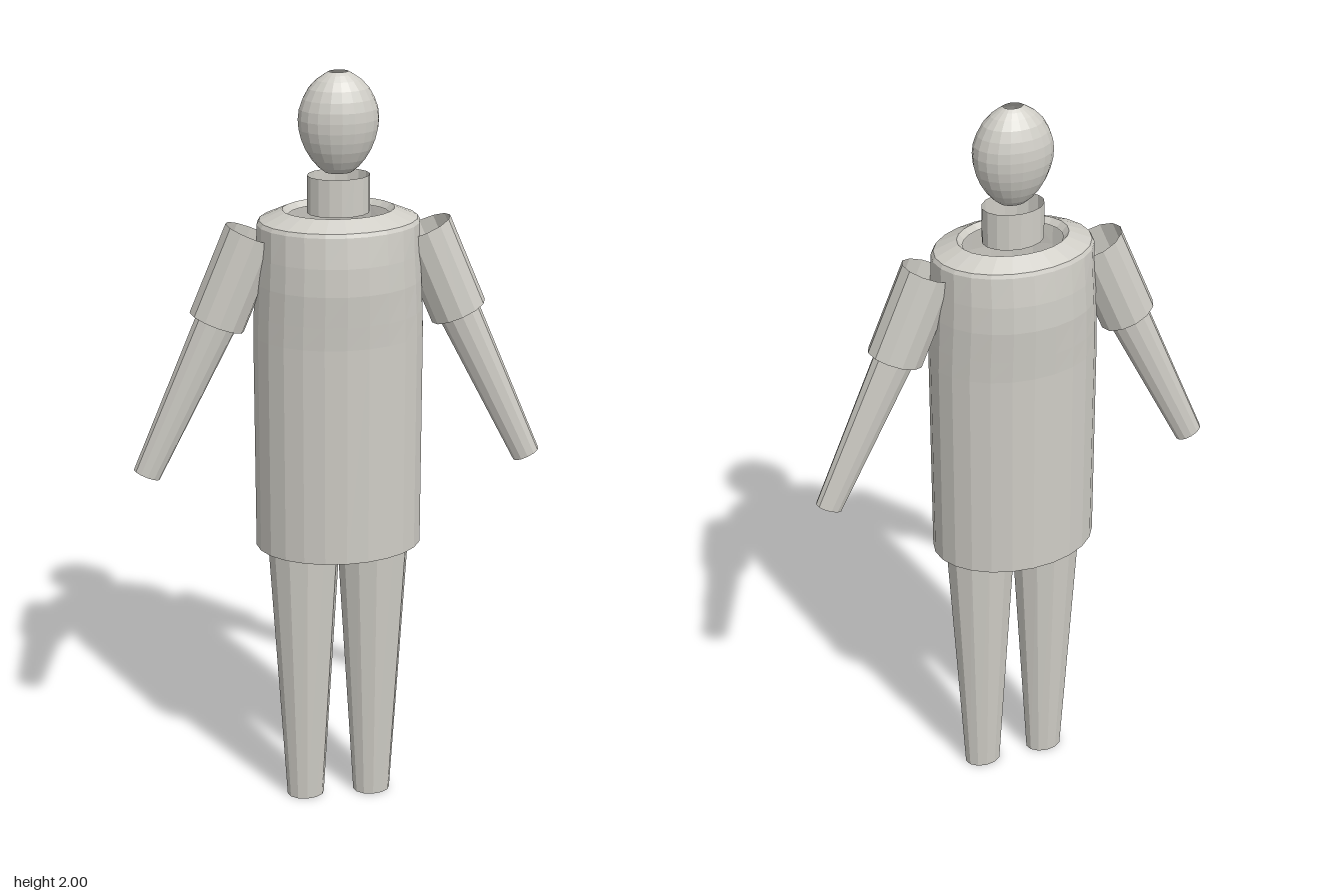
import * as THREE from 'three';

const clay = new THREE.MeshStandardMaterial({ color: 0xcfcdc6, flatShading: true, side: THREE.DoubleSide });
clay.name = 'warm grey';

// Open shell through elliptical rings [y, half width, half depth], listed bottom to top
function shell(name, rings, sides) {
  const pos = [], index = [];
  for (const [y, rx, rz] of rings) {
    for (let i = 0; i < sides; i++) {
      const a = (i / sides) * Math.PI * 2;
      pos.push(rx * Math.sin(a), y, rz * Math.cos(a));
    }
  }
  for (let r = 0; r < rings.length - 1; r++) {
    for (let i = 0; i < sides; i++) {
      const j = (i + 1) % sides;
      const a = r * sides + i, b = r * sides + j;
      index.push(a, b, b + sides, a, b + sides, a + sides);
    }
  }
  const g = new THREE.BufferGeometry();
  g.setAttribute('position', new THREE.Float32BufferAttribute(pos, 3));
  g.setIndex(index);
  g.computeVertexNormals();
  const mesh = new THREE.Mesh(g, clay);
  mesh.name = name;
  return mesh;
}

// Limb tube running from a lower point to an upper point in the x-y plane
function limb(name, low, high, lowSize, highSize, sides) {
  const dx = high[0] - low[0], dy = high[1] - low[1];
  const mesh = shell(name, [[0, ...lowSize], [Math.hypot(dx, dy), ...highSize]], sides);
  mesh.position.set(low[0], low[1], 0);
  mesh.rotation.z = -Math.atan2(dx, dy);
  return mesh;
}

export function createModel() {
  const model = new THREE.Group();
  model.name = 'figure';

  // Long tunic, shoulder slope and inner collar lip
  model.add(shell('torso', [
    [0.76, 0.216, 0.155], [1.34, 0.216, 0.155], [1.4, 0.214, 0.158], [1.48, 0.21, 0.162],
    [1.55, 0.206, 0.158], [1.625, 0.204, 0.147], [1.635, 0.198, 0.143],
    [1.66, 0.14, 0.1], [1.645, 0.126, 0.09],
  ], 24));

  model.add(shell('neck', [[1.65, 0.078, 0.057], [1.745, 0.078, 0.057]], 16));

  // Egg-shaped head, open at both ends
  const head = [[1.752, 0.034, 0.024], [1.765, 0.05, 0.036], [1.785, 0.067, 0.048],
    [1.81, 0.082, 0.059], [1.835, 0.092, 0.066], [1.86, 0.098, 0.07], [1.885, 0.1, 0.071],
    [1.91, 0.097, 0.069], [1.935, 0.088, 0.063], [1.96, 0.074, 0.053],
    [1.98, 0.055, 0.039], [1.993, 0.036, 0.026], [2.0, 0.024, 0.017]];
  model.add(shell('head', head, 20));

  for (const [side, s] of [['left', 1], ['right', -1]]) {
    model.add(limb(side + 'Sleeve', [s * 0.307, 1.378], [s * 0.213, 1.603], [0.073, 0.057], [0.073, 0.057], 12));
    model.add(limb(side + 'Forearm', [s * 0.495, 0.975], [s * 0.305, 1.385], [0.036, 0.024], [0.054, 0.036], 12));
    model.add(limb(side + 'Leg', [s * 0.091, 0], [s * 0.095, 0.77], [0.05, 0.036], [0.095, 0.074], 12));
  }
  // Keep the feet level with the ground
  for (const n of ['leftLeg', 'rightLeg']) model.getObjectByName(n).rotation.z = 0;

  return model;
}
